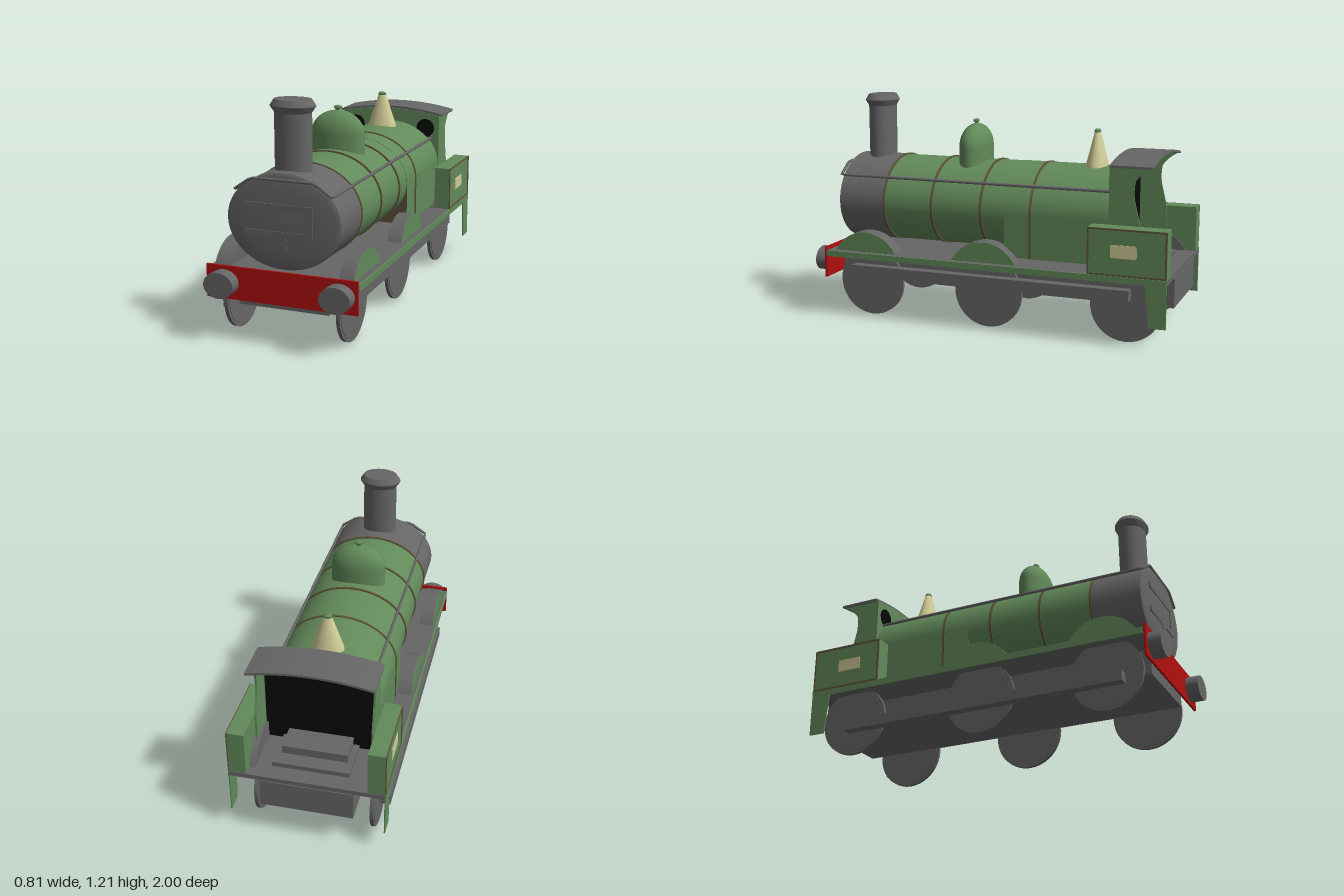
import * as THREE from 'three';

const mat = (name, color) => {
  const m = new THREE.MeshStandardMaterial({ color });
  m.name = name;
  return m;
};

export function createModel() {
  const green = mat('paint green', 0x628a5a);
  const grey = mat('iron grey', 0x666666);
  const red = mat('beam red', 0xb01010);
  const brown = mat('lining brown', 0x5f543a);
  const cream = mat('brass cream', 0xd0cb96);
  const black = mat('cab black', 0x080808);
  const root = new THREE.Group();
  root.name = 'locomotive';

  const add = (name, geo, material, x = 0, y = 0, z = 0) => {
    const m = new THREE.Mesh(geo, material);
    m.name = name;
    m.position.set(x, y, z);
    root.add(m);
  };
  // Box given by its low and high corner on each axis
  const box = (name, material, x0, x1, y0, y1, z0, z1) =>
    add(name, new THREE.BoxGeometry(x1 - x0, y1 - y0, z1 - z0), material,
      (x0 + x1) / 2, (y0 + y1) / 2, (z0 + z1) / 2);
  // Elliptical drum lying along z
  const drum = (name, material, rx, ry, x, y, z0, z1) =>
    add(name, new THREE.CylinderGeometry(1, 1, z1 - z0, 48).rotateX(Math.PI / 2).scale(rx, ry, 1),
      material, x, y, (z0 + z1) / 2);
  // Round upright part, widened across x
  const turned = (name, material, pts, widen, z) =>
    add(name, new THREE.LatheGeometry(pts.map(p => new THREE.Vector2(...p)), 40).scale(widen, 1, 1), material, 0, 0, z);
  const extrude = (shape, depth) =>
    new THREE.ExtrudeGeometry(shape, { depth, bevelEnabled: false, curveSegments: 40 });
  const poly = pts => new THREE.Shape(pts.map(p => new THREE.Vector2(...p)));
  // Plate drawn in (z, y), centred on x
  const sidePlate = (name, material, shape, x, t) =>
    add(name, extrude(shape, t).rotateY(-Math.PI / 2), material, x + t / 2);

  // Boiler, smokebox and its door
  const CY = 0.63;
  drum('boiler', green, 0.297, 0.238, 0, CY, -0.12, 0.615);
  drum('smokebox', grey, 0.3, 0.241, 0, CY, 0.615, 0.885);
  const door = new THREE.LatheGeometry(
    [[1, 0.885], [0.93, 0.895], [0.6, 0.901], [0, 0.905]].map(p => new THREE.Vector2(...p)), 40);
  add('smokeboxDoor', door.rotateX(Math.PI / 2).scale(0.3, 0.241, 1), grey, 0, CY);
  for (const [x0, x1, y0, y1] of [[-0.2, 0.16, 0.69, 0.72], [0.12, 0.16, 0.585, 0.69],
    [-0.2, 0.16, 0.555, 0.585], [-0.015, 0.025, 0.49, 0.555]])
    box('doorStrap', grey, x0, x1, y0, y1, 0.899, 0.907);

  // Firebox: straight sides under an elliptical crown
  const fireboxShape = (g) => {
    const s = new THREE.Shape();
    s.moveTo(-0.298 - g, 0.395);
    s.lineTo(0.298 + g, 0.395);
    s.lineTo(0.298 + g, CY);
    s.absellipse(0, CY, 0.298 + g, 0.239 + g, 0, Math.PI, false);
    return s;
  };
  add('firebox', extrude(fireboxShape(0), 0.57), [brown, green], 0, 0, -0.66);
  add('fireboxBand', extrude(fireboxShape(0.005), 0.012), brown, 0, 0, -0.241);
  for (const z of [0.615, 0.33, 0.045])
    drum('boilerBand', brown, 0.304, 0.245, 0, CY, z - 0.006, z + 0.006);

  // Chimney, dome and safety valve
  turned('chimney', grey, [[0.073, 0.82], [0.073, 1.146], [0.073, 1.146], [0.089, 1.175], [0.089, 1.18],
    [0.089, 1.18], [0.073, 1.21], [0.073, 1.21], [0, 1.212]], 1.3, 0.76);
  const domePts = [[0.083, 0.8]];
  for (let i = 0; i <= 10; i++) {
    const a = i / 10 * Math.PI / 2;
    domePts.push([0.083 * Math.cos(a), 0.94 + 0.125 * Math.sin(a)]);
  }
  turned('dome', green, domePts, 1.8, 0.185);
  turned('domeKnob', green, [[0.009, 1.05], [0.009, 1.07], [0.016, 1.075], [0.016, 1.086], [0, 1.092]], 1.4, 0.185);
  turned('safetyValve', cream, [[0.06, 0.85], [0.058, 0.875], [0.016, 1.045], [0, 1.045]], 1.4, -0.51);
  turned('valveCap', green, [[0.012, 1.04], [0.018, 1.048], [0.014, 1.06], [0, 1.062]], 1.4, -0.51);

  // Handrail along both sides and over the smokebox front
  const rail = new THREE.CurvePath();
  const railPts = [[0.255, 0.775, -0.65], [0.255, 0.775, 0.895], [0.165, 0.837, 0.895],
    [-0.165, 0.837, 0.895], [-0.255, 0.775, 0.895], [-0.255, 0.775, -0.65]].map(p => new THREE.Vector3(...p));
  for (let i = 0; i < railPts.length - 1; i++) rail.add(new THREE.LineCurve3(railPts[i], railPts[i + 1]));
  add('handrail', new THREE.TubeGeometry(rail, 120, 0.008, 8), grey);

  // Cab front, sides and curved roof
  const arc = (w, edge, top) => Array.from({ length: 17 }, (_, i) => {
    const t = 1 - i / 8;
    return [w * t, top - (top - edge) * t * t];
  });
  const cabEnd = poly([[-0.3, 0.37], [0.3, 0.37], ...arc(0.3, 0.912, 0.944)]);
  add('cabFront', extrude(cabEnd, 0.01), green, 0, 0, -0.67);
  const inner = poly([[-0.29, 0.375], [0.29, 0.375], ...arc(0.29, 0.91, 0.942)]);
  add('cabInnerFront', extrude(inner, 0.005), black, 0, 0, -0.675);
  add('cabRoof', extrude(poly([...arc(0.32, 0.908, 0.944).reverse(), ...arc(0.32, 0.92, 0.956)]), 0.225), grey, 0, 0, -0.89);
  const side = new THREE.Shape();
  side.moveTo(-0.66, 0.37);
  side.lineTo(-0.66, 0.915);
  side.lineTo(-0.885, 0.915);
  side.quadraticCurveTo(-0.83, 0.89, -0.795, 0.84);
  side.quadraticCurveTo(-0.785, 0.78, -0.795, 0.735);
  side.lineTo(-0.825, 0.61);
  side.lineTo(-0.825, 0.37);

  // Running plate, frame and cab floor
  box('runningPlate', grey, -0.397, 0.397, 0.345, 0.37, -0.99, 0.92);
  box('frame', grey, -0.24, 0.24, 0.19, 0.32, -0.995, 0.9);
  box('rearFrame', grey, -0.24, 0.24, 0.32, 0.345, -0.995, -0.85);
  box('cabFloor', grey, -0.2, 0.2, 0.37, 0.395, -0.9, -0.32);
  box('footPlatform', grey, -0.17, 0.17, 0.395, 0.44, -0.82, -0.675);

  // Front beam
  box('frontBeam', red, -0.402, 0.402, 0.22, 0.39, 0.92, 0.932);

  const R = 0.202;
  const wheelZ = [0.7, 0.005, -0.755];
  for (const s of [-1, 1]) {
    add('cabWindow', new THREE.CylinderGeometry(0.055, 0.055, 0.006, 12).rotateX(Math.PI / 2), black, s * 0.22, 0.835, -0.659);
    sidePlate('cabSide', green, side, s * 0.298, 0.01);
    drum('bumper', grey, 0.08, 0.066, s * 0.306, 0.305, 0.925, 1);
    box('valance', green, s * 0.4 - 0.004, s * 0.4 + 0.004, 0.338, 0.371, -0.99, 0.92);

    // Side bunker with lining and plate
    box('sideBunker', green, s * 0.354 - 0.044, s * 0.354 + 0.044, 0.37, 0.615, -0.988, -0.577);
    const frame = poly([[-0.988, 0.372], [-0.577, 0.372], [-0.577, 0.615], [-0.988, 0.615]]);
    frame.holes.push(poly([[-0.979, 0.381], [-0.979, 0.606], [-0.586, 0.606], [-0.586, 0.381]]));
    sidePlate('bunkerLining', brown, frame, s * 0.4, 0.006);
    box('bunkerPlate', cream, s * 0.399 - 0.003, s * 0.399 + 0.003, 0.465, 0.532, -0.832, -0.698);
    sidePlate('cabStep', green, poly([[-0.99, 0.12], [-0.9, 0.12], [-0.88, 0.34], [-0.99, 0.34]]), s * 0.399, 0.006);

    // Wheels with splashers; the wheel sets sit slightly to the right
    const wx = s * 0.301 - 0.021;
    for (const z of wheelZ) {
      const disc = (name, r, w) =>
        add(name, new THREE.CylinderGeometry(r, r, w, 40).rotateZ(Math.PI / 2), grey, wx, 0.19, z);
      disc('wheelTyre', 0.19, 0.019);
      disc('wheelFace', 0.174, 0.025);
      const hump = new THREE.Shape();
      const a = Math.asin((0.365 - 0.278) / R);
      hump.absarc(z, 0.278, R, a, Math.PI - a, false);
      const sx = s * 0.33 - 0.01;
      sidePlate('splasher', grey, hump, sx, 0.08);
      sidePlate('splasherFace', green, hump, sx + s * 0.041, 0.004);
    }
    // Coupling rods set a quarter turn apart
    const ry = s > 0 ? 0.258 : 0.148;
    const rx = wx + s * 0.038;
    box('couplingRod', grey, rx - 0.028, rx + 0.028, ry - 0.028, ry + 0.028, -0.782, 0.795);
  }
  return root;
}
